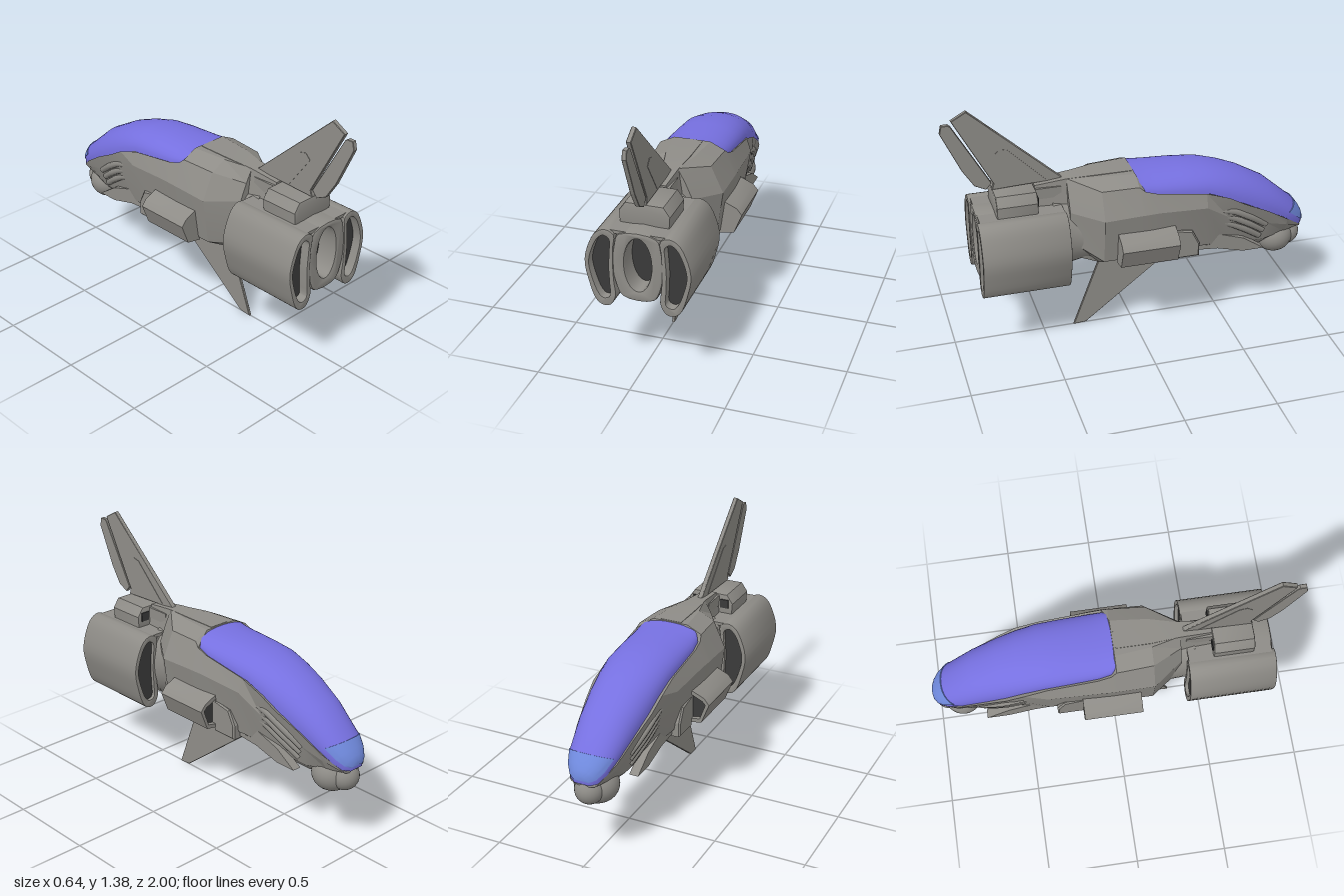
import * as THREE from 'three';
import { toCreasedNormals } from 'three/addons/utils/BufferGeometryUtils.js';

const mat = (name, color) => Object.assign(new THREE.MeshStandardMaterial({ color }), { name });

// Closed skin through equal-sized rings, ordered from +z to -z
function loft(rings, crease) {
  const n = rings[0].length, pos = rings.flat(2), idx = [];
  for (let i = 0; i < rings.length - 1; i++) {
    for (let j = 0; j < n; j++) {
      const a = i * n + j, b = i * n + (j + 1) % n;
      idx.push(a, a + n, b, b, a + n, b + n);
    }
  }
  const last = (rings.length - 1) * n;
  for (let j = 1; j < n - 1; j++) idx.push(0, j, j + 1, last, last + j + 1, last + j);
  const g = new THREE.BufferGeometry();
  g.setAttribute('position', new THREE.Float32BufferAttribute(pos, 3));
  g.setIndex(idx);
  return toCreasedNormals(g, crease);
}

// Symmetric ring from right-hand points running bottom to top
const mirrorRing = (z, half) => [
  ...half.map(([x, y]) => [x, y, z]),
  ...half.slice().reverse().map(([x, y]) => [-x, y, z]),
];
const ellipseRing = (z, rx, ry, cy, n = 32) => Array.from({ length: n }, (_, i) => {
  const t = i / n * Math.PI * 2;
  return [rx * Math.cos(t), cy + ry * Math.sin(t), z];
});

// Side-profile plate, points given as [z, y], centred on x
function plate(pts, width, x = 0, bevel = 0) {
  const g = new THREE.ExtrudeGeometry(new THREE.Shape(pts.map(p => new THREE.Vector2(...p))), {
    depth: width - 2 * bevel, bevelEnabled: bevel > 0, bevelThickness: bevel,
    bevelSize: bevel, bevelOffset: -bevel, bevelSegments: 1,
  });
  return g.translate(0, 0, bevel - width / 2).rotateY(-Math.PI / 2).translate(x, 0, 0);
}

// Smooth closed outline from [x, y] points; s mirrors it
const outline = (pts, s = 1) => new THREE.CatmullRomCurve3(
  pts.map(([x, y]) => new THREE.Vector3(s * x, y, 0)), true).getPoints(40).slice(0, -1)
  .map(p => new THREE.Vector2(p.x, p.y));

// Extrusion along z between z0 and z1 with softened ends; holes run anticlockwise
function alongZ(pts, hole, z0, z1, bevel = 0) {
  const shape = new THREE.Shape(pts);
  if (hole) shape.holes.push(new THREE.Path(THREE.ShapeUtils.isClockWise(hole) ? hole.reverse() : hole));
  const g = new THREE.ExtrudeGeometry(shape, {
    depth: z1 - z0 - 2 * bevel, bevelEnabled: bevel > 0, bevelThickness: bevel,
    bevelSize: bevel, bevelOffset: -bevel, bevelSegments: 2,
  });
  return toCreasedNormals(g.translate(0, 0, z0 + bevel), 0.6);
}
const v2 = (pts, s = 1) => pts.map(([x, y]) => new THREE.Vector2(s * x, y));

export function createModel() {
  const hull = mat('hull grey', 0x8e8c87), dark = mat('opening dark', 0x3a3a3a);
  const glass = mat('canopy violet', 0x7670e0), tipGlass = mat('nose blue', 0x708ade);
  const model = new THREE.Group();
  const add = (name, geo, material = hull) => {
    const m = new THREE.Mesh(geo, material);
    m.name = name;
    model.add(m);
  };
  const box = (w, h, d, x, y, z) => new THREE.BoxGeometry(w, h, d).translate(x, y, z);

  // Fuselage: z, then belly, lower side, widest, shoulder and top corners
  const body = [
    [0.36, 0.08, 0.5, 0.11, 0.6, 0.12, 0.78, 0.08, 0.87, 0.04, 0.945],
    [0.2, 0.1, 0.44, 0.2, 0.5, 0.235, 0.76, 0.168, 0.905, 0.08, 0.95],
    [0, 0.1, 0.44, 0.2, 0.5, 0.24, 0.77, 0.182, 0.91, 0.1, 0.95],
    [-0.03, 0.1, 0.44, 0.2, 0.5, 0.24, 0.77, 0.192, 0.885, 0.16, 0.87],
    [-0.1, 0.1, 0.44, 0.2, 0.5, 0.237, 0.77, 0.197, 0.865, 0.17, 0.85],
    [-0.37, 0.1, 0.45, 0.18, 0.5, 0.222, 0.75, 0.197, 0.825, 0.17, 0.81],
    [-0.5, 0.09, 0.42, 0.15, 0.48, 0.19, 0.66, 0.198, 0.78, 0.165, 0.765],
    [-0.6, 0.08, 0.41, 0.13, 0.46, 0.165, 0.6, 0.188, 0.72, 0.155, 0.705],
    [-0.74, 0.07, 0.4, 0.11, 0.44, 0.145, 0.56, 0.163, 0.645, 0.135, 0.63],
    [-0.87, 0.05, 0.43, 0.09, 0.46, 0.125, 0.52, 0.134, 0.56, 0.11, 0.55],
    [-0.97, 0.03, 0.455, 0.05, 0.46, 0.072, 0.47, 0.078, 0.482, 0.05, 0.482],
  ];
  add('fuselage', loft(body.map(([z, ...p]) =>
    mirrorRing(z, [0, 2, 4, 6, 8].map(i => [p[i], p[i + 1]]))), 0.3));
  add('neck', loft([[0.44, 0.15, 0.215, 0.62], [0.38, 0.14, 0.205, 0.625], [0.28, 0.15, 0.185, 0.63],
    [0.18, 0.19, 0.18, 0.63]].map(([z, rx, ry, cy]) => ellipseRing(z, rx, ry, cy)), 0.6));
  add('spine', loft([[0.53, 0.035, 0.925], [0.36, 0.045, 0.945], [0.2, 0.06, 0.953], [0.01, 0.06, 0.952]]
    .map(([z, w, y]) => mirrorRing(z, [[w + 0.02, 0.8], [w, y]])), 0.2));

  // Canopy: sill z, forward lean of the crest, crest height, sill height, half width
  const arch = ([z, lean, top, sill, w], cut = 0, grow = 0) => Array.from({ length: 21 }, (_, i) => {
    const t = (cut + i / 20 * (1 - 2 * cut)) * Math.PI, c = Math.cos(t), h = Math.sin(t) ** 0.95;
    return [(w + grow) * Math.sign(c) * Math.abs(c) ** 0.9, sill + (top + grow - sill) * h, z - lean * h];
  });
  const canopy = [
    [0.004, 0, 0.948, 0.912, 0.155], [-0.03, 0, 0.946, 0.875, 0.178], [-0.1, 0, 0.943, 0.855, 0.184],
    [-0.25, 0, 0.94, 0.835, 0.185], [-0.39, 0, 0.928, 0.815, 0.184], [-0.5, 0.01, 0.897, 0.77, 0.178],
    [-0.6, 0.02, 0.855, 0.715, 0.17], [-0.72, 0.05, 0.771, 0.65, 0.154], [-0.845, 0.095, 0.622, 0.575, 0.132],
    [-0.92, 0.05, 0.58, 0.52, 0.107], [-0.965, 0.022, 0.55, 0.485, 0.077],
    [-0.99, 0.007, 0.525, 0.477, 0.042], [-0.997, 0, 0.51, 0.495, 0.01],
  ];
  add('canopy', loft(canopy.map(r => arch(r)), 0.8), glass);
  // Blue pane over the upper nose, leaving the lower sides violet
  add('nosePane', loft(canopy.slice(8).map(r => arch(r, 0.12, 0.003)), 0.9).translate(0, 0, -0.003), tipGlass);

  // Chin turret
  add('chinBall', new THREE.SphereGeometry(0.11, 28, 18).scale(1.08, 0.93, 1).translate(0, 0.407, -0.84));
  add('chinBallFront', new THREE.SphereGeometry(0.077, 24, 16).translate(0, 0.41, -0.915));

  // Engine block: centre nozzle and two side pods, open at both ends
  const oval = (rx, ry) => new THREE.EllipseCurve(0, 0.635, rx, ry).getPoints(32).slice(0, -1);
  const core = outline([[0.1, 0.795], [0.125, 0.72], [0.135, 0.63], [0.12, 0.52], [0.08, 0.445],
    [-0.08, 0.445], [-0.12, 0.52], [-0.135, 0.63], [-0.125, 0.72], [-0.1, 0.795]]);
  add('centreNozzle', alongZ(core, oval(0.071, 0.146), 0.4, 0.855, 0.012));
  add('centreNozzleInside', alongZ(oval(0.078, 0.152), null, 0.42, 0.74), dark);
  add('engineTop', box(0.3, 0.018, 0.45, 0, 0.799, 0.62));
  const podOuter = [[0.12, 0.79], [0.165, 0.812], [0.215, 0.79], [0.255, 0.72], [0.279, 0.62],
    [0.26, 0.51], [0.225, 0.41], [0.19, 0.382], [0.15, 0.386], [0.118, 0.44], [0.125, 0.53],
    [0.128, 0.62], [0.125, 0.72]];
  const podHole = [[0.145, 0.758], [0.175, 0.778], [0.207, 0.755], [0.237, 0.695], [0.256, 0.615],
    [0.239, 0.525], [0.207, 0.445], [0.182, 0.424], [0.149, 0.438], [0.149, 0.51], [0.152, 0.61], [0.146, 0.7]];
  for (const s of [1, -1]) {
    add('enginePod', alongZ(outline(podOuter, s), outline(podHole, s), 0.39, 0.86, 0.004));
    add('enginePodInside', alongZ(outline(podHole, s), null, 0.41, 0.81), dark);
  }

  // Dorsal housing with two small intakes
  add('dorsalHousing', alongZ(v2([[-0.13, 0.79], [0.13, 0.79], [0.135, 0.87], [0.1, 0.92],
    [-0.1, 0.92], [-0.135, 0.87]]), null, 0.53, 0.75, 0.01));
  for (const s of [1, -1]) {
    add('dorsalIntake', box(0.05, 0.05, 0.008, s * 0.085, 0.865, 0.528), dark);
    add('dorsalProng', box(0.025, 0.06, 0.14, s * 0.04, 0.88, 0.46));
  }

  // Tail fin, rudder and raised side panels
  add('tailFin', plate([[0.37, 0.935], [0.75, 0.92], [0.74, 0.955], [0.94, 1.335], [0.86, 1.38]], 0.026, 0, 0.003));
  add('rudder', plate([[0.75, 0.96], [0.78, 0.925], [0.84, 0.955], [0.9, 1.05], [1, 1.27],
    [0.99, 1.315], [0.955, 1.315], [0.942, 1.305]], 0.024, 0, 0.002));
  for (const s of [1, -1])
    add('finPanel', plate([[0.46, 0.94], [0.6, 0.94], [0.73, 1.12], [0.7, 1.15], [0.66, 1.14]], 0.005, s * 0.0125));

  // Ventral fin and its posts
  add('ventralFin', plate([[0.18, 0.4], [-0.245, 0.4], [0.26, 0.005], [0.33, 0]], 0.016, 0, 0.003));
  for (const z of [0.06, -0.01, -0.08, -0.15])
    add('ventralPost', box(0.04, 0.07, 0.045, 0, 0.425, z));

  for (const s of [1, -1]) {
    // Side pod with an open forward intake
    const pod = v2([[0.19, 0.48], [0.275, 0.495], [0.318, 0.605], [0.29, 0.64], [0.2, 0.68]], s);
    const mouth = () => v2([[0.215, 0.505], [0.265, 0.515], [0.297, 0.602], [0.28, 0.62], [0.215, 0.65]], s);
    add('sidePod', alongZ(pod, mouth(), -0.19, 0.125));
    add('sidePodInside', alongZ(mouth(), null, -0.165, 0.12), dark);
    add('sidePodBack', alongZ(pod, null, 0.12, 0.127));
    add('cheekBlock', plate([[-0.18, 0.46], [-0.18, 0.64], [-0.29, 0.62], [-0.33, 0.54], [-0.33, 0.46]],
      0.09, s * 0.172, 0.008));
    // Angled brace below the shoulder
    add('cheekBrace', plate([[-0.33, 0.47], [-0.33, 0.55], [-0.47, 0.68], [-0.52, 0.66], [-0.45, 0.55],
      [-0.6, 0.5], [-0.72, 0.42], [-0.6, 0.42], [-0.45, 0.46]], 0.05, s * 0.145));
    // Curved pipes beside the nose
    for (let i = 0; i < 3; i++) {
      const path = new THREE.CatmullRomCurve3([[0.17, 0.7, -0.44], [0.178, 0.69, -0.52],
        [0.165, 0.63, -0.63], [0.13, 0.55, -0.74]]
        .map(([x, y, z]) => new THREE.Vector3(s * (x - i * 0.008), y - i * 0.038, z + i * 0.015)));
      add('nosePipe', new THREE.TubeGeometry(path, 20, 0.02, 8));
    }
    for (const z of [-0.5, -0.57])
      add('bellyKnob', new THREE.SphereGeometry(0.018, 12, 8).translate(s * 0.06, 0.41, z));
  }
  return model;
}
